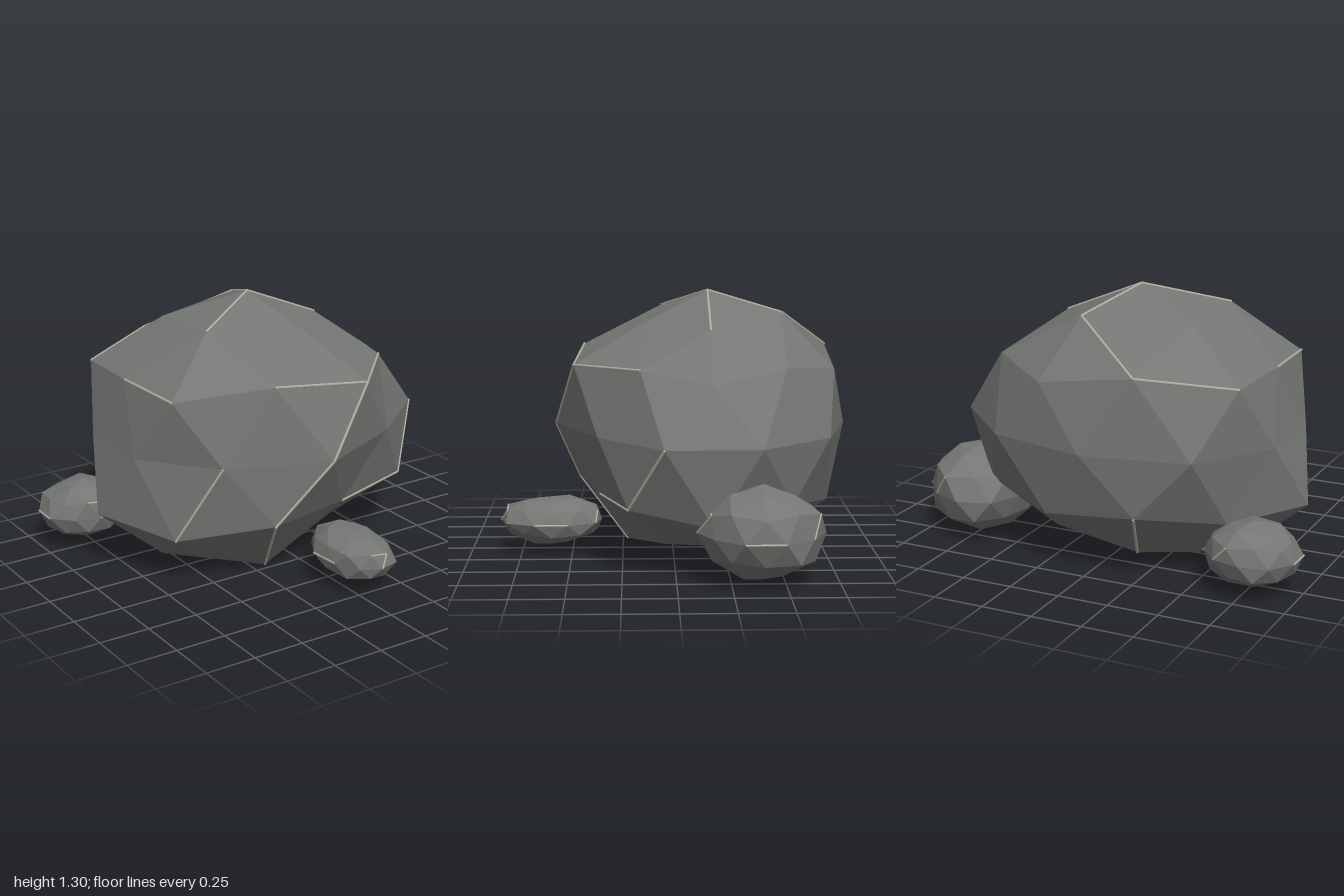
import * as THREE from 'three';
import { ConvexGeometry } from 'three/addons/geometries/ConvexGeometry.js';

const stone = new THREE.MeshStandardMaterial({ color: 0x747774, flatShading: true });
const wornEdge = new THREE.MeshStandardMaterial({ color: 0xb8b2a6 });

// Unit directions of a 42-point icosphere standing on its pole: rings of [height, radius, first angle, count]
const RINGS = [
  [1, 0, 0, 1], [0.851, 0.526, 0, 5], [0.526, 0.851, 36, 5], [0.447, 0.894, 0, 5],
  [0, 1, 18, 10],
  [-0.447, 0.894, 36, 5], [-0.526, 0.851, 0, 5], [-0.851, 0.526, 36, 5], [-1, 0, 0, 1],
];
const DIRS = RINGS.flatMap(([y, r, start, n]) =>
  Array.from({ length: n }, (_, i) => {
    const a = THREE.MathUtils.degToRad(start + (i * 360) / n);
    return new THREE.Vector3(r * Math.cos(a), y, r * Math.sin(a)).normalize();
  }));

// Push each direction out by its factor, in an ellipsoid of the given half sizes
function makeRock(name, center, size, factors, edges, edgeRadius) {
  const c = new THREE.Vector3(...center);
  const s = new THREE.Vector3(...size);
  const points = DIRS.map((d, i) => {
    const p = d.clone().multiply(s).multiplyScalar(factors[i]).add(c);
    p.y = Math.max(p.y, 0);
    return p;
  });

  const geometry = new ConvexGeometry(DIRS);
  const pos = geometry.attributes.position;
  const v = new THREE.Vector3();
  for (let i = 0; i < pos.count; i++) {
    v.fromBufferAttribute(pos, i);
    let best = 0;
    DIRS.forEach((d, k) => { if (d.dot(v) > DIRS[best].dot(v)) best = k; });
    pos.setXYZ(i, ...points[best].toArray());
  }
  geometry.computeVertexNormals();

  const group = new THREE.Group();
  group.name = name;
  const body = new THREE.Mesh(geometry, stone);
  body.name = name + 'Body';
  group.add(body);

  // Pale worn strips along chosen edges
  for (const [a, b] of edges) {
    const along = points[b].clone().sub(points[a]);
    const strip = new THREE.Mesh(
      new THREE.CylinderGeometry(edgeRadius, edgeRadius, along.length(), 5), wornEdge);
    strip.name = 'wornEdge';
    strip.position.copy(points[a]).add(points[b]).multiplyScalar(0.5);
    strip.quaternion.setFromUnitVectors(new THREE.Vector3(0, 1, 0), along.normalize());
    group.add(strip);
  }
  return group;
}

// Small seeded spread of factors for the pebbles
function roughness(seed) {
  let n = seed;
  return DIRS.map(() => {
    n = (n * 16807) % 2147483647;
    return 0.93 + 0.13 * (n / 2147483647);
  });
}

export function createModel() {
  const model = new THREE.Group();
  model.name = 'rockCluster';

  // Boulder: one factor per icosphere point, ring by ring from the top
  const boulder = [
    1.0,
    0.88, 0.9, 1.0, 0.96, 1.0,
    0.94, 1.07, 0.94, 1.06, 0.97,
    0.925, 1.08, 1.06, 1.06, 1.0,
    1.03, 0.93, 1.056, 0.96, 0.93, 0.93, 1.01, 0.96, 0.975, 1.015,
    1.05, 1.06, 1.11, 1.0, 1.0,
    1.07, 0.92, 1.1, 1.0, 1.0,
    0.96, 1.11, 1.11, 1.0, 0.98,
    0.955,
  ];
  const boulderEdges = [
    [0, 1], [0, 3], [0, 5], [5, 9], [9, 14], [8, 13], [7, 12], [12, 6],
    [12, 18], [18, 27], [27, 37], [19, 33], [26, 32], [16, 26], [29, 39],
  ];
  model.add(makeRock('boulder', [-0.03, 0.63, -0.17], [0.87, 0.66, 0.71], boulder, boulderEdges, 0.007));

  // Pebbles around the foot
  const pebbleEdges = [[16, 25], [18, 12], [12, 7], [20, 21], [24, 15]];
  [
    ['frontPebble', [0.06, 0.16, 0.6], [0.17, 0.12, 0.26], 7919],
    ['leftPebble', [0.73, 0.235, -0.39], [0.27, 0.22, 0.29], 104729],
    ['rightPebble', [-0.775, 0.185, -0.56], [0.23, 0.155, 0.205], 51287],
  ].forEach(([name, center, size, seed]) =>
    model.add(makeRock(name, center, size, roughness(seed), pebbleEdges, 0.005)));

  return model;
}
